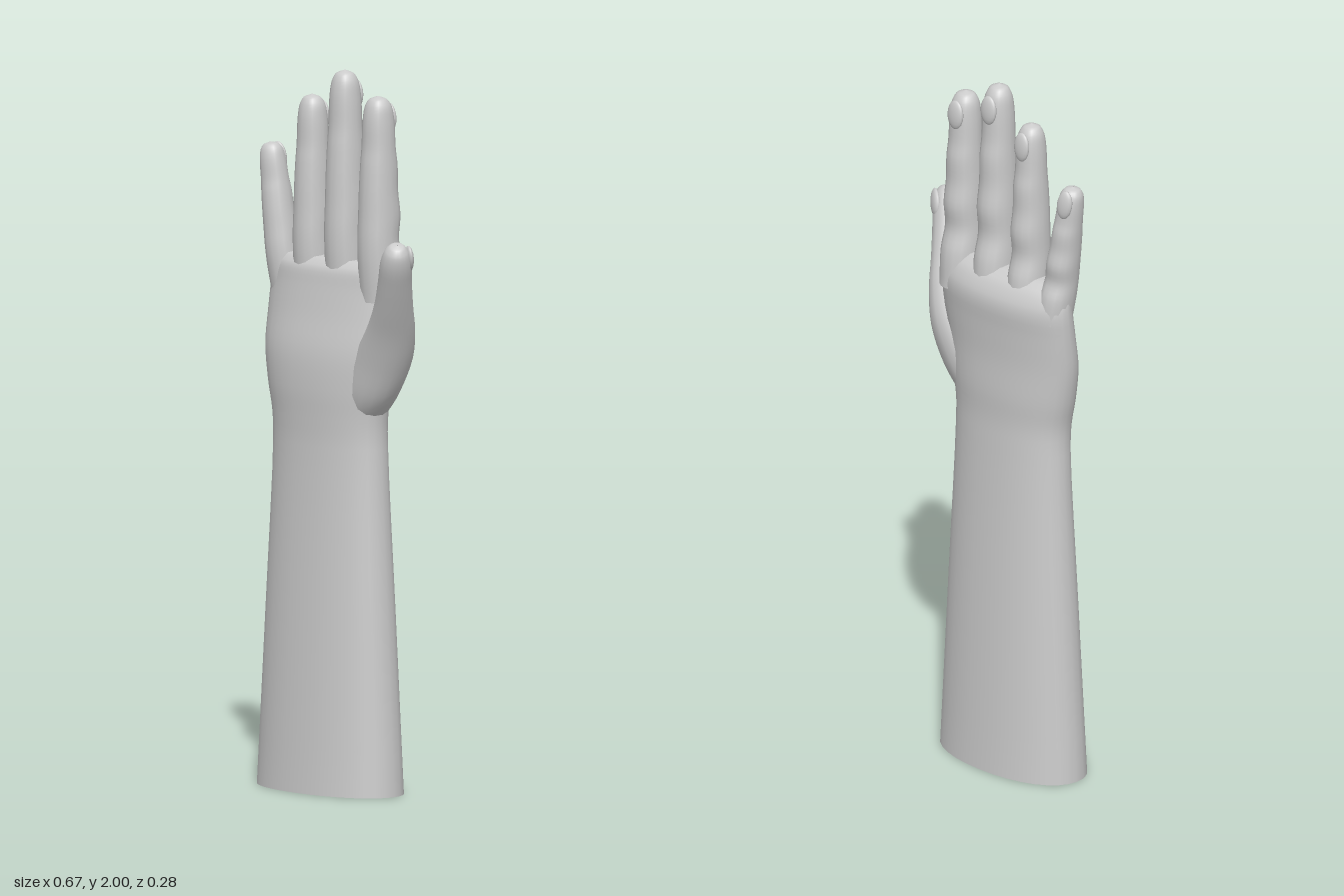
import * as THREE from 'three';

const material = new THREE.MeshStandardMaterial({ color: 0xcccccc, side: THREE.DoubleSide });
const Y = new THREE.Vector3(0, 1, 0);

// Smooth skin over oval sections [x, y, z, half width, half depth], all square to one axis.
function loft(name, rows, { sides = 16, steps = 4, power = 2, axis = Y, front = new THREE.Vector3(0, 0, 1) } = {}) {
  const path = new THREE.CatmullRomCurve3(rows.map(r => new THREE.Vector3(r[0], r[1], r[2])));
  const size = new THREE.CatmullRomCurve3(rows.map(r => new THREE.Vector3(r[3], r[1], r[4])));
  const side = new THREE.Vector3().crossVectors(axis, front).normalize();
  const depth = new THREE.Vector3().crossVectors(side, axis).normalize();
  const count = (rows.length - 1) * steps;
  const round = v => Math.sign(v) * Math.abs(v) ** (2 / power);
  const pos = [], index = [];
  for (let j = 0; j <= count; j++) {
    const c = path.getPoint(j / count), s = size.getPoint(j / count);
    for (let i = 0; i < sides; i++) {
      const a = i / sides * Math.PI * 2;
      const p = c.clone().addScaledVector(side, s.x * round(Math.cos(a))).addScaledVector(depth, s.z * round(Math.sin(a)));
      pos.push(p.x, p.y, p.z);
      if (j < count) {
        const k = j * sides + i, n = j * sides + (i + 1) % sides;
        index.push(k, k + sides, n, n, k + sides, n + sides);
      }
    }
  }
  const g = new THREE.BufferGeometry();
  g.setAttribute('position', new THREE.Float32BufferAttribute(pos, 3));
  g.setIndex(index);
  g.computeVertexNormals();
  const mesh = new THREE.Mesh(g, material);
  mesh.name = name;
  return mesh;
}

// Thin oval plate
function nail(width, height) {
  const mesh = new THREE.Mesh(new THREE.SphereGeometry(1, 16, 10), material);
  mesh.scale.set(width, height, 0.012);
  mesh.name = 'nail';
  return mesh;
}

// Straight finger standing on its base, with knuckle swellings and a nail on the back
function finger({ name, x, y, length, width, tilt = 0, twist = 0 }) {
  const w = width, group = new THREE.Group();
  const profile = [ // fraction of length, z, half width, half depth
    [0, -0.25, 1.0, 1.15], [0.18, -0.12, 1.0, 1.2], [0.3, 0.05, 0.96, 1.06],
    [0.42, -0.03, 0.95, 1.1], [0.54, 0.03, 0.9, 1.0], [0.66, 0, 0.86, 0.96],
    [0.75, 0.02, 0.82, 0.84], [0.88, 0.03, 0.76, 0.78], [0.95, 0.04, 0.66, 0.64],
    [0.985, 0.06, 0.44, 0.42], [1, 0.06, 0.01, 0.01]];
  group.add(loft('fingerSkin', profile.map(([t, z, a, b]) => [0, t * length, z * w, a * w, b * w]), { power: 2.2 }));
  const plate = nail(w * 0.52, 0.042);
  plate.position.set(0, length * 0.89, -w * 0.68);
  plate.rotation.x = 0.06;
  group.add(plate);
  group.position.set(x, y, -0.02);
  group.rotation.set(0, twist, tilt);
  group.name = name;
  return group;
}

export function createModel() {
  const model = new THREE.Group();
  model.name = 'handAndForearm';

  // Open-ended forearm running into wrist and palm
  model.add(loft('forearmAndPalm', [
    [-0.08, 0, -0.013, 0.25, 0.132], [-0.079, 0.5, -0.013, 0.223, 0.114],
    [-0.078, 0.96, -0.012, 0.199, 0.097], [-0.078, 1.04, -0.01, 0.201, 0.097],
    [-0.08, 1.12, -0.01, 0.215, 0.1], [-0.08, 1.22, -0.012, 0.23, 0.097],
    [-0.077, 1.32, -0.025, 0.238, 0.089], [-0.077, 1.4, -0.034, 0.238, 0.083],
    [-0.077, 1.45, -0.027, 0.23, 0.066], [-0.077, 1.475, -0.022, 0.2, 0.038],
    [-0.077, 1.48, -0.022, 0.002, 0.002]], { sides: 32, power: 2.15 }));

  // Four fingers
  [
    { name: 'indexFinger', x: 0.103, y: 1.37, length: 0.57, width: 0.055 },
    { name: 'middleFinger', x: -0.027, y: 1.37, length: 0.63, width: 0.055 },
    { name: 'ringFinger', x: -0.155, y: 1.37, length: 0.55, width: 0.052 },
    { name: 'littleFinger', x: -0.257, y: 1.37, length: 0.407, width: 0.046, tilt: 0.13, twist: 0.2 },
  ].forEach(f => model.add(finger(f)));

  // Thumb, leaning outward and forward from the ball of the palm
  const axis = new THREE.Vector3(0.12, 0.29, 0.1).normalize();
  const front = new THREE.Vector3(-0.45, 0, 0.9);
  const thumb = new THREE.Group();
  thumb.name = 'thumb';
  thumb.add(loft('thumbSkin', [
    [0.03, 1.03, -0.02, 0.05, 0.05], [0.085, 1.13, -0.014, 0.085, 0.075],
    [0.14, 1.225, -0.005, 0.083, 0.078], [0.195, 1.31, 0.022, 0.063, 0.066],
    [0.235, 1.38, 0.052, 0.05, 0.054], [0.265, 1.45, 0.077, 0.046, 0.047],
    [0.286, 1.505, 0.094, 0.044, 0.043], [0.298, 1.537, 0.103, 0.036, 0.034],
    [0.304, 1.553, 0.107, 0.021, 0.02], [0.306, 1.558, 0.108, 0.001, 0.001]], { axis, front }));
  const side = new THREE.Vector3().crossVectors(axis, front).normalize();
  const depth = new THREE.Vector3().crossVectors(side, axis).normalize();
  const plate = nail(0.028, 0.04);
  plate.quaternion.setFromRotationMatrix(new THREE.Matrix4().makeBasis(side, axis, depth));
  plate.position.set(0.288, 1.512, 0.096).addScaledVector(depth, -0.037);
  thumb.add(plate);
  model.add(thumb);

  return model;
}
